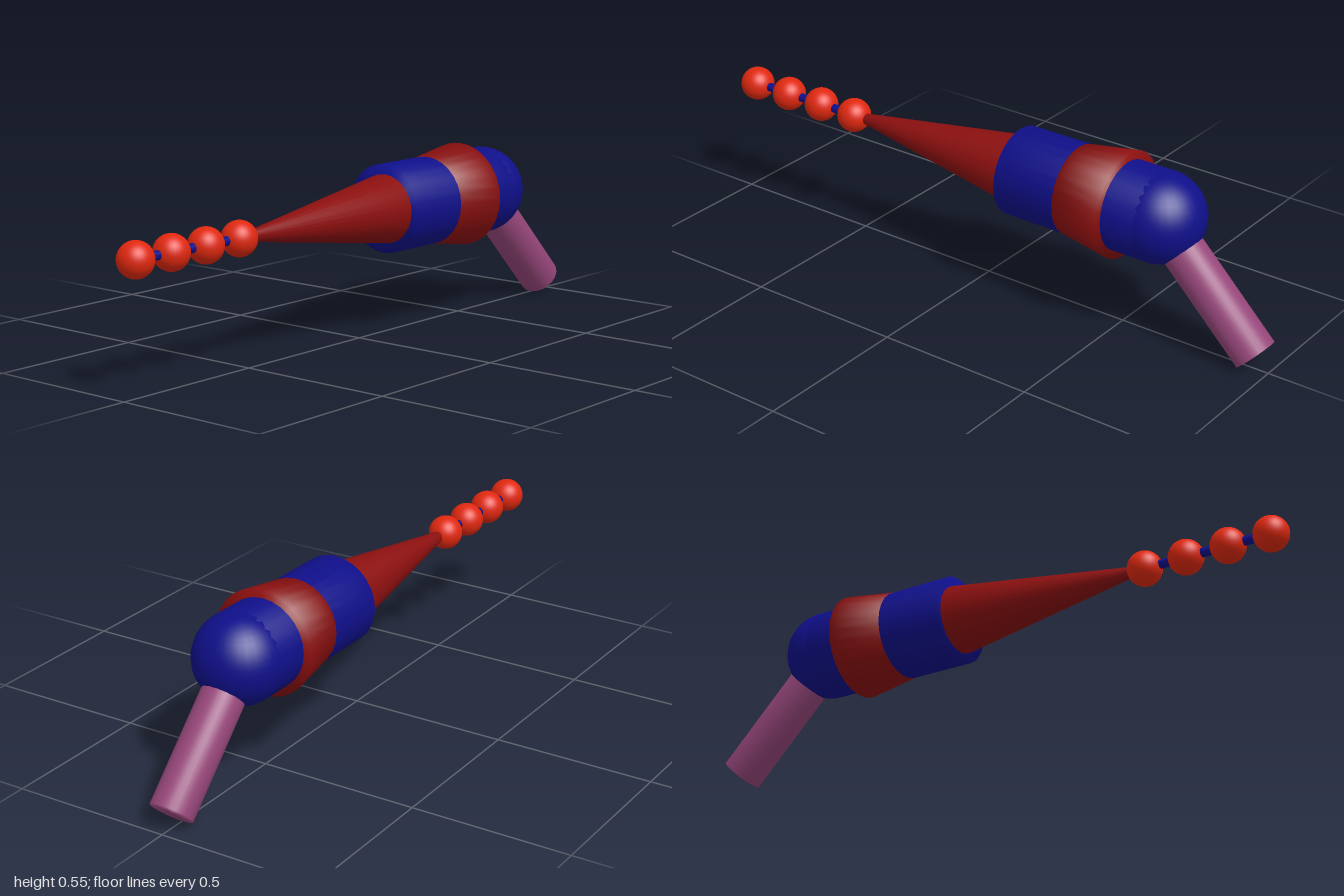
import * as THREE from 'three';
import { mergeVertices } from 'three/addons/utils/BufferGeometryUtils.js';

const AXIS_Y = 0.387;
const DOME_Z = -0.615;

function material(name, color) {
  const m = new THREE.MeshStandardMaterial({ color });
  m.name = name;
  return m;
}

// Weld the caps to the sides so the shading runs smoothly over the rims
function weldedCylinder(rTop, rBottom, length) {
  const g = new THREE.CylinderGeometry(rTop, rBottom, length, 28);
  g.deleteAttribute('uv');
  g.deleteAttribute('normal');
  const welded = mergeVertices(g);
  welded.computeVertexNormals();
  return welded;
}

export function createModel() {
  const group = new THREE.Group();
  group.name = 'beadedTool';

  const navy = material('navy', 0x0f0f8a);
  const darkRed = material('dark red', 0x8b0f0f);
  const brightRed = material('bright red', 0xe0280f);
  const mauve = material('mauve', 0x96467a);

  const add = (name, geometry, mat) => {
    const mesh = new THREE.Mesh(geometry, mat);
    mesh.name = name;
    group.add(mesh);
    return mesh;
  };

  // Round section lying along z, from its front end to its back end
  const section = (name, zFront, rFront, zBack, rBack, mat) => {
    const mesh = add(name, weldedCylinder(rFront, rBack, zFront - zBack), mat);
    mesh.rotation.x = Math.PI / 2;
    mesh.position.set(0, AXIS_Y, (zFront + zBack) / 2);
  };

  const ball = (name, z, r, mat) => {
    add(name, new THREE.SphereGeometry(r, 32, 24), mat).position.set(0, AXIS_Y, z);
  };

  // Beads threaded on a thin rod
  section('beadRod', 0.945, 0.014, 0.5, 0.014, navy);
  for (let i = 0; i < 4; i++) ball(`bead${i + 1}`, 0.945 - i * 0.137, 0.054, brightRed);

  // Tapering nose, body with flared band, and rounded end
  section('noseCone', 0.5, 0.015, -0.12, 0.108, darkRed);
  section('body', -0.12, 0.139, DOME_Z, 0.139, navy);
  section('flaredBand', -0.33, 0.139, -0.5, 0.165, darkRed);
  ball('bodyDome', DOME_Z, 0.139, navy);

  // Handle slanting down and back from the centre of the dome
  const start = new THREE.Vector3(0, AXIS_Y, DOME_Z);
  const end = new THREE.Vector3(0, 0.046, -0.954);
  const handle = add('handle', weldedCylinder(0.066, 0.066, start.distanceTo(end)), mauve);
  handle.position.copy(start).add(end).multiplyScalar(0.5);
  handle.rotation.x = Math.PI / 4;

  return group;
}
